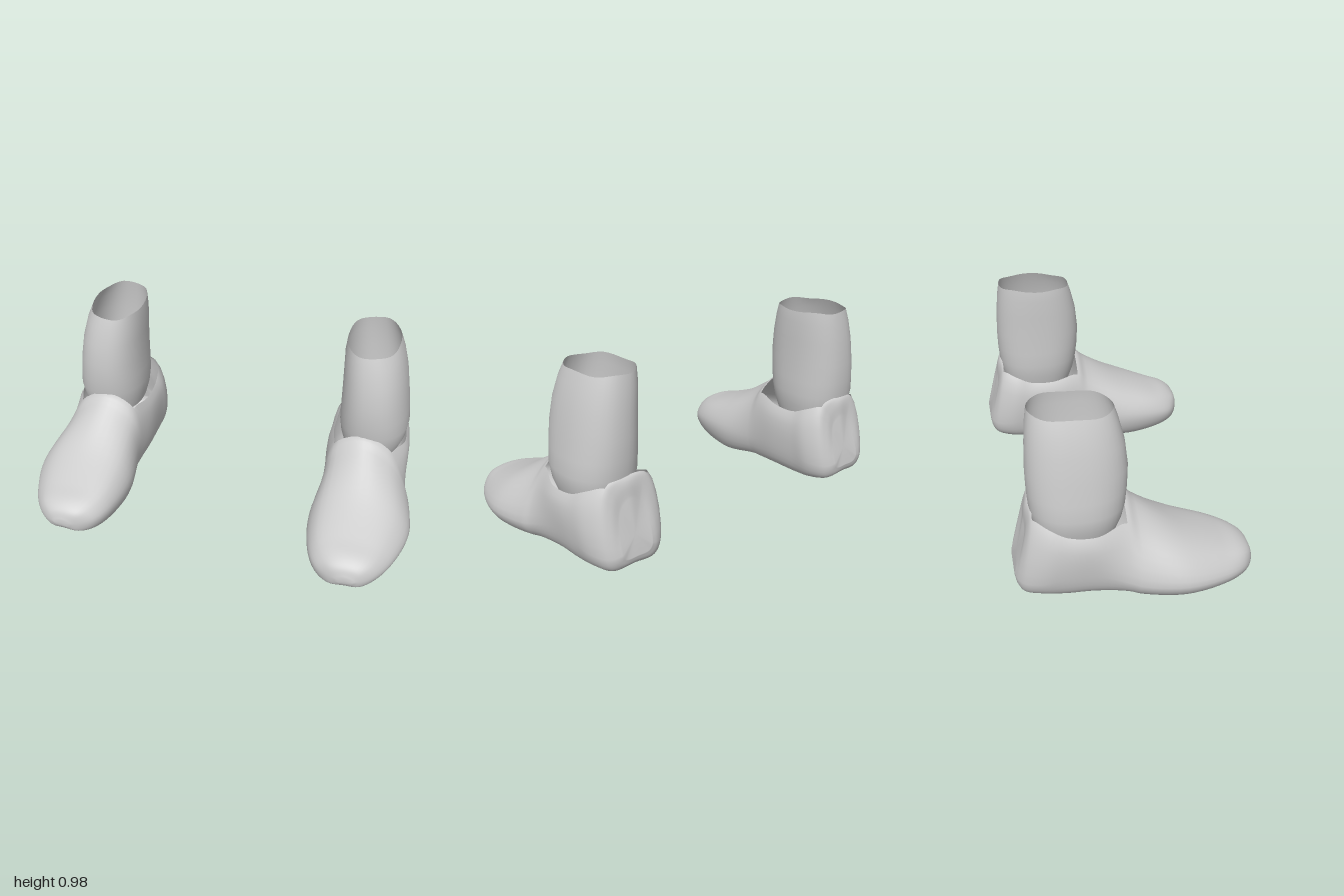
import * as THREE from 'three';

// Shoe stations from toe to heel:
// z, top lean, top y, inner sole y, outer sole y, inner x, outer x, widest y, inner shoulder x, outer shoulder x, shoulder y
const STATIONS = [
  [0.565, 0, 0.12, 0.085, 0.09, 0.70, 0.78, 0.10, 0.71, 0.77, 0.11],
  [0.545, 0, 0.165, 0.05, 0.06, 0.635, 0.83, 0.10, 0.66, 0.81, 0.15],
  [0.50, 0, 0.20, 0.035, 0.05, 0.57, 0.885, 0.11, 0.62, 0.85, 0.175],
  [0.40, 0, 0.235, 0.015, 0.045, 0.52, 0.945, 0.12, 0.57, 0.88, 0.205],
  [0.20, 0, 0.325, 0.0, 0.05, 0.487, 1.0, 0.14, 0.55, 0.91, 0.275],
  [0.0, 0, 0.46, 0.03, 0.065, 0.515, 0.97, 0.15, 0.55, 0.87, 0.37],
  [-0.06, 0, 0.505, 0.035, 0.07, 0.515, 0.945, 0.16, 0.55, 0.85, 0.43],
  [-0.20, 0, 0.45, 0.05, 0.075, 0.50, 0.92, 0.20, 0.525, 0.90, 0.41],
  [-0.35, 0.02, 0.44, 0.055, 0.075, 0.50, 0.91, 0.20, 0.525, 0.89, 0.415],
  [-0.45, 0.04, 0.47, 0.065, 0.08, 0.505, 0.895, 0.17, 0.535, 0.865, 0.45],
  [-0.53, 0.05, 0.50, 0.08, 0.085, 0.54, 0.86, 0.16, 0.575, 0.81, 0.475],
  [-0.558, 0.058, 0.48, 0.105, 0.11, 0.58, 0.82, 0.16, 0.61, 0.78, 0.44],
  [-0.568, 0.055, 0.40, 0.14, 0.14, 0.62, 0.78, 0.17, 0.64, 0.75, 0.36],
];
const COLLAR_START = 6, COLLAR_END = 10; // stations between which the top is open

// Ankle rings from bottom to top: y, inner x, outer x, front z, back z
const ANKLE_RINGS = [
  [0.36, 0.575, 0.87, -0.09, -0.45],
  [0.43, 0.555, 0.895, -0.065, -0.475],
  [0.50, 0.545, 0.903, -0.05, -0.487],
  [0.58, 0.545, 0.893, -0.041, -0.493],
  [0.68, 0.545, 0.88, -0.037, -0.495],
  [0.80, 0.543, 0.86, -0.05, -0.49],
  [0.90, 0.54, 0.833, -0.075, -0.482],
  [0.96, 0.545, 0.808, -0.092, -0.472],
];

// Joins rings of equal point count into a smooth skin; skip(i, j) leaves holes
function skin(rings, { skip = () => false, caps = false } = {}) {
  const n = rings[0].length, pos = [], index = [];
  rings.forEach(r => r.forEach(p => pos.push(p.x, p.y, p.z)));
  for (let i = 0; i < rings.length - 1; i++) for (let j = 0; j < n; j++) {
    if (skip(i, j)) continue;
    const a = i * n + j, b = i * n + (j + 1) % n;
    index.push(a, b, a + n, b, b + n, a + n);
  }
  if (caps) [0, rings.length - 1].forEach(i => {
    const c = new THREE.Vector3();
    rings[i].forEach(p => c.addScaledVector(p, 1 / n));
    const k = pos.length / 3;
    pos.push(c.x, c.y, c.z);
    for (let j = 0; j < n; j++) {
      const a = i * n + j, b = i * n + (j + 1) % n;
      index.push(k, ...(i === 0 ? [b, a] : [a, b]));
    }
  });
  const g = new THREE.BufferGeometry();
  g.setAttribute('position', new THREE.Float32BufferAttribute(pos, 3));
  g.setIndex(index);
  g.computeVertexNormals();
  return g;
}

// Shoe: eight smooth tracks run toe to heel, closed sections are drawn through them
function shoeGeometry() {
  const V = (x, y, z) => new THREE.Vector3(x, y, z);
  const rows = STATIONS.map(([z, lean, top, yIn, yOut, xIn, xOut, yW, tIn, tOut, ySh]) => {
    const inset = (xOut - xIn) * 0.12;
    return [
      V((tIn + tOut) / 2, top, z + lean),
      V(tOut, ySh, z + lean),
      V(xOut, yW, z),
      V(xOut - inset, yOut, z),
      V((xIn + xOut) / 2, (yIn + yOut) / 2 - 0.003, z),
      V(xIn + inset, yIn, z),
      V(xIn, yW, z),
      V(tIn, ySh, z + lean),
    ];
  });
  const tracks = rows[0].map((_, k) => new THREE.CatmullRomCurve3(rows.map(r => r[k])));
  const per = 5, sub = 5, steps = (rows.length - 1) * per, n = 8 * sub, rings = [];
  for (let i = 0; i <= steps; i++) {
    const section = new THREE.CatmullRomCurve3(tracks.map(t => t.getPoint(i / steps)), true);
    rings.push(Array.from({ length: n }, (_, j) => section.getPoint(j / n)));
  }
  const skip = (i, j) => i >= COLLAR_START * per && i < COLLAR_END * per && (j < sub || j >= n - sub);
  return skin(rings, { skip, caps: true });
}

// Ankle: an open tube of rounded-square rings with a slightly uneven top edge
function ankleGeometry() {
  const n = 40;
  const soft = v => Math.sign(v) * Math.abs(v) ** 0.88;
  const rings = ANKLE_RINGS.map(([y, xi, xo, zf, zb], r) => Array.from({ length: n }, (_, j) => {
    const a = -j / n * Math.PI * 2, s = soft(Math.sin(a)), c = soft(Math.cos(a));
    const wave = r === ANKLE_RINGS.length - 1 ? -0.009 * s + 0.004 * Math.cos(5 * a) : 0;
    return new THREE.Vector3((xi + xo) / 2 + c * (xo - xi) / 2, y + wave, (zf + zb) / 2 + s * (zf - zb) / 2);
  }));
  return skin(rings.reverse().map(r => r.slice().reverse()).reverse());
}

// Mirrored copy across x = 0 with the corner order flipped back
function mirrored(geometry) {
  const g = geometry.clone(), p = g.attributes.position, id = g.index;
  for (let i = 0; i < p.count; i++) p.setX(i, -p.getX(i));
  for (let i = 0; i < id.count; i += 3) {
    const b = id.getX(i + 1);
    id.setX(i + 1, id.getX(i + 2));
    id.setX(i + 2, b);
  }
  g.computeVertexNormals();
  return g;
}

export function createModel() {
  const grey = new THREE.MeshStandardMaterial({ color: 0xcccccc, side: THREE.DoubleSide });
  grey.name = 'light grey';
  const model = new THREE.Group();
  model.name = 'pairOfShoes';
  const parts = { Shoe: shoeGeometry(), Ankle: ankleGeometry() };
  for (const side of ['left', 'right']) {
    const foot = new THREE.Group();
    foot.name = side + 'Foot';
    for (const [part, geometry] of Object.entries(parts)) {
      const mesh = new THREE.Mesh(side === 'left' ? geometry : mirrored(geometry), grey);
      mesh.name = side + part;
      foot.add(mesh);
    }
    model.add(foot);
  }
  return model;
}
